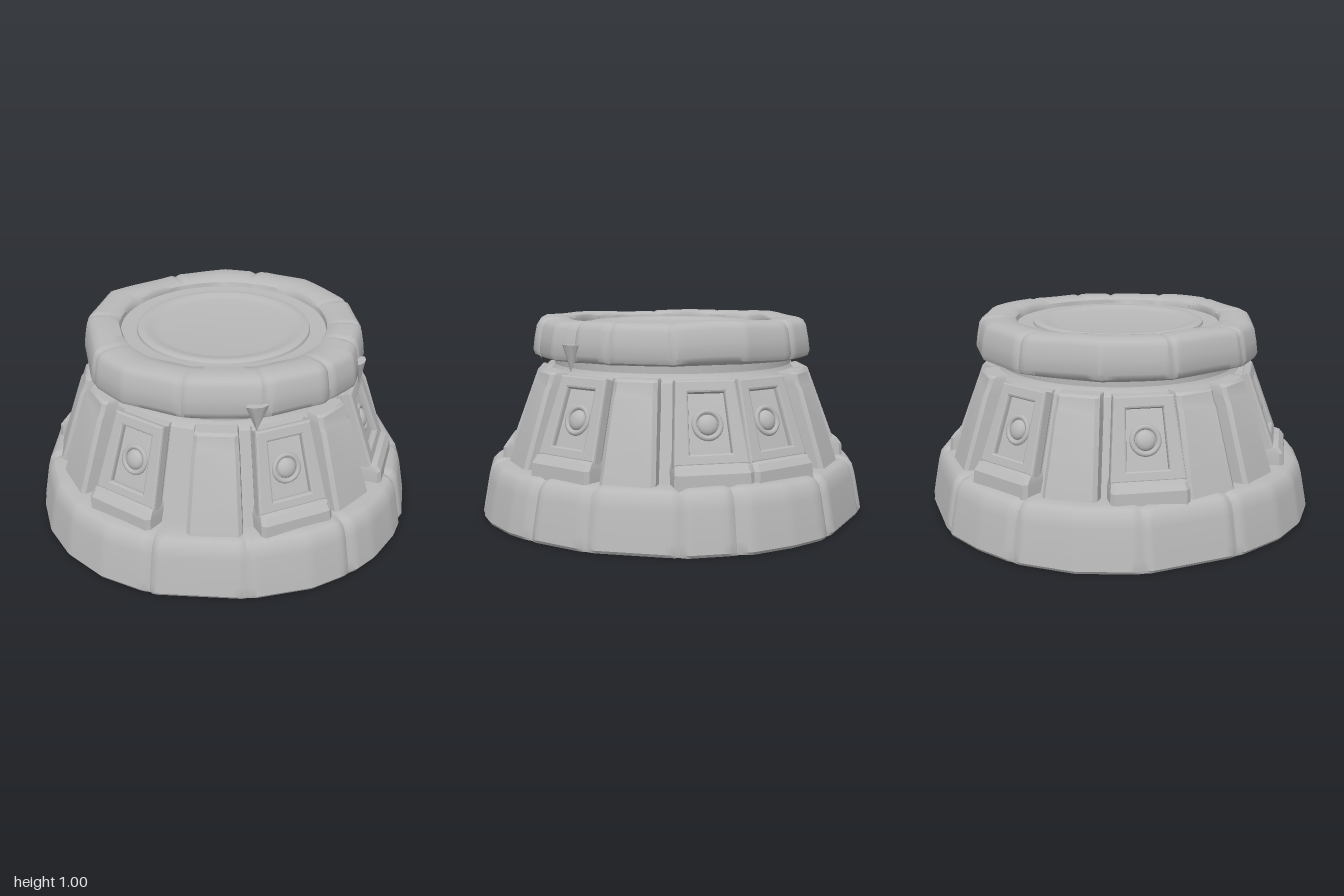
import * as THREE from 'three';
import { toCreasedNormals } from 'three/addons/utils/BufferGeometryUtils.js';

const RAD = Math.PI / 180;

// Skin between closed loops of [x, y, z] (counter-clockwise from above), with end caps.
function loft(loops, crease = 0.6) {
  const n = loops[0].length, index = [];
  for (let j = 0; j < loops.length - 1; j++) {
    for (let i = 0; i < n; i++) {
      const a = j * n + i, b = j * n + (i + 1) % n;
      index.push(a, b, a + n, b, b + n, a + n);
    }
  }
  const top = (loops.length - 1) * n;
  for (let i = 1; i < n - 1; i++) {
    index.push(0, i + 1, i);
    index.push(top, top + i, top + i + 1);
  }
  const g = new THREE.BufferGeometry();
  g.setAttribute('position', new THREE.Float32BufferAttribute(loops.flat(2), 3));
  g.setIndex(index);
  return toCreasedNormals(g, crease);
}

// Radius of a rough outline made of straight chords between [degrees, radius] corners.
function outlineRadius(corners, deg) {
  for (let i = 0; i < corners.length; i++) {
    const [a0, r0] = corners[i];
    let [a1, r1] = corners[(i + 1) % corners.length];
    if (a1 <= a0) a1 += 360;
    const d = deg < a0 ? deg + 360 : deg;
    if (d >= a0 && d <= a1) {
      return r0 * r1 * Math.sin((a1 - a0) * RAD) /
        (r0 * Math.sin((d - a0) * RAD) + r1 * Math.sin((a1 - d) * RAD));
    }
  }
  return 1;
}

// Rough stone ring; profile rows are [radius scale, y, wear], wear scales cracks and waves.
function stoneRing(profile, corners, seams, depth, wave) {
  const n = 288;
  const loops = profile.map(([s, y, wear]) => {
    const loop = [];
    for (let i = 0; i < n; i++) {
      const deg = (360 - i * 360 / n) % 360, t = deg * RAD;
      let crack = 0;
      for (const seam of seams) {
        const d = Math.abs((deg - seam + 540) % 360 - 180);
        crack = Math.max(crack, 1 - d / 2);
      }
      const rough = 1 + (outlineRadius(corners, deg) - 1) * Math.min(1, wear * 2);
      const r = s * rough - depth * crack * wear;
      const lift = y > 0.1 ? wear * (wave * Math.sin(3 * t + 1) + wave * 0.7 * Math.sin(7 * t) - depth * 0.5 * crack) : 0;
      loop.push([r * Math.cos(t), y + lift, r * Math.sin(t)]);
    }
    return loop;
  });
  return loft(loops, 0.7);
}

// Tapered slab with bevelled front edges; rows are [y, half width, front z].
function slab(rows, back = 0.55, b = 0.018) {
  return loft(rows.map(([y, w, z]) => [
    [-w, y, back], [-w, y, z - b], [-w + b, y, z], [w - b, y, z], [w, y, z - b], [w, y, back],
  ]), 0.5);
}

export function createModel() {
  const model = new THREE.Group();
  model.name = 'stonePedestal';
  const stone = new THREE.MeshStandardMaterial({ color: 0xb8b8b8 });
  stone.name = 'grey stone';
  const add = (parent, name, geometry) => {
    const mesh = new THREE.Mesh(geometry, stone);
    mesh.name = name;
    parent.add(mesh);
    return mesh;
  };

  // Wide cracked base
  add(model, 'baseRing', stoneRing(
    [[0.99, 0, 0.5], [1, 0.015, 1], [0.992, 0.06, 1], [0.965, 0.2, 1], [0.95, 0.25, 1],
      [0.925, 0.277, 1], [0.88, 0.287, 0.8], [0.8, 0.285, 0.2], [0.6, 0.285, 0]],
    [[0, 1], [12, 1.005], [30, 1], [56, 0.987], [74, 0.988], [84, 0.995], [96, 1], [106, 1], [119, 0.99],
      [137, 0.977], [164, 0.995], [180, 1], [194, 1], [207, 0.99], [224, 0.977], [252, 0.996],
      [270, 1], [287, 1], [301, 0.986], [315, 0.99], [344, 0.988], [350, 1]],
    [16, 31, 56, 75, 106, 137, 165, 224, 252, 288, 316, 345], 0.022, 0.004));

  // Sloped core and neck
  add(model, 'core', toCreasedNormals(new THREE.LatheGeometry(
    [[0.8, 0.27], [0.64, 0.72], [0.62, 0.74], [0.61, 0.76], [0.61, 0.83]]
      .map(([r, y]) => new THREE.Vector2(r, y)), 96), 0.4));

  // Cracked cap ring with a recessed top
  add(model, 'capRing', stoneRing(
    [[0.6, 0.81, 0], [0.69, 0.803, 0.3], [0.72, 0.815, 0.8], [0.73, 0.84, 1], [0.722, 0.9, 1],
      [0.71, 0.96, 1], [0.695, 0.983, 1], [0.67, 0.995, 1], [0.6, 0.997, 0.9], [0.55, 0.99, 0.6],
      [0.525, 0.978, 0.2], [0.515, 0.955, 0], [0.45, 0.95, 0], [0.3, 0.95, 0]],
    [[5, 1], [33, 1], [58, 0.98], [85, 1.005], [105, 1], [128, 0.985], [160, 0.98], [185, 0.99],
      [203, 1], [238, 0.985], [265, 1.01], [300, 0.985], [325, 1], [345, 1]],
    [33, 58, 75, 100, 128, 160, 203, 238, 300, 340], 0.016, 0.005));

  // Shallow dished disc set in the cap
  add(model, 'topDisc', toCreasedNormals(new THREE.LatheGeometry(
    [[0.44, 0.94], [0.432, 0.962], [0.415, 0.97], [0.385, 0.968], [0.36, 0.957], [0.33, 0.953], [0, 0.953]]
      .map(([r, y]) => new THREE.Vector2(r, y)), 96), 0.7));

  // Pointed chips hanging from the cap's front edge
  for (const [deg, size] of [[132, 1], [75, 0.95]]) {
    const chip = add(model, 'hangingChip', new THREE.ConeGeometry(0.055 * size, 0.13, 7));
    chip.rotation.set(Math.PI, (deg - 90) * RAD, 0);
    chip.scale.z = 0.45;
    chip.position.set(0.712 * Math.cos(deg * RAD), 0.822, 0.712 * Math.sin(deg * RAD));
  }

  // Shared shapes for the plain ribs and the studded panels
  const ribGeometry = slab([[0.26, 0.132, 0.865], [0.3, 0.13, 0.852], [0.66, 0.108, 0.735],
    [0.68, 0.105, 0.722], [0.73, 0.102, 0.705], [0.742, 0.096, 0.69]]);
  const panelGeometry = slab([[0.26, 0.185, 0.875], [0.34, 0.182, 0.868], [0.37, 0.175, 0.845],
    [0.385, 0.168, 0.785], [0.715, 0.14, 0.665], [0.735, 0.135, 0.65]]);

  // Raised border with a window-like recess
  const border = new THREE.Shape([[-0.167, 0], [0.167, 0], [0.132, 0.375], [-0.132, 0.375]]
    .map(([x, y]) => new THREE.Vector2(x, y)));
  border.holes.push(new THREE.Path([[-0.108, 0.035], [-0.095, 0.335], [0.095, 0.335], [0.108, 0.035]]
    .map(([x, y]) => new THREE.Vector2(x, y))));
  const borderGeometry = new THREE.ExtrudeGeometry(border, {
    depth: 0.04, bevelEnabled: true, bevelThickness: 0.012, bevelSize: 0.01, bevelSegments: 2,
  });
  const studGeometry = new THREE.SphereGeometry(0.048, 24, 12);
  const collarGeometry = new THREE.TorusGeometry(0.062, 0.013, 8, 28);

  const placed = (name, deg) => {
    const g = new THREE.Group();
    g.name = name;
    g.rotation.y = (90 - deg) * RAD;
    model.add(g);
    return g;
  };

  for (const deg of [47, 96.5, 147, 206, 228, 274, 328]) {
    add(placed('plainRib', deg), 'ribBlock', ribGeometry);
  }

  for (const deg of [-4, 20.5, 70.5, 120.5, 179, 249, 299]) {
    const panel = placed('studdedPanel', deg);
    add(panel, 'panelBlock', panelGeometry);
    const face = new THREE.Group();
    face.name = 'panelFace';
    face.position.set(0, 0.368, 0.783);
    face.rotation.x = -20 * RAD;
    panel.add(face);
    add(face, 'panelBorder', borderGeometry).position.z = -0.015;
    const stud = add(face, 'stud', studGeometry);
    stud.position.set(0, 0.18, 0.006);
    stud.scale.z = 0.55;
    add(face, 'studCollar', collarGeometry).position.set(0, 0.18, 0.007);
  }
  return model;
}
